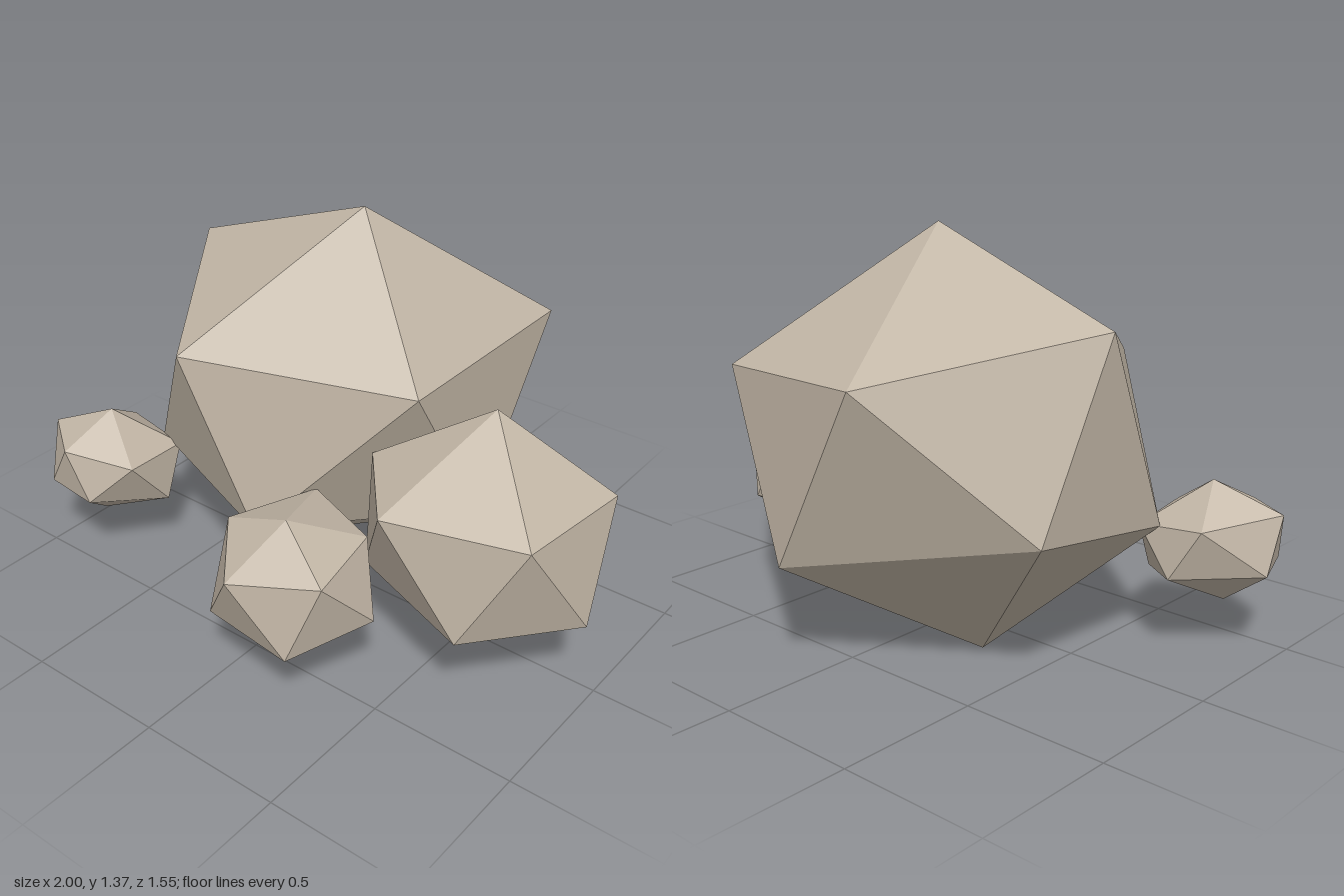
import * as THREE from 'three';

// Rough boulder: a top point, an upper and a lower ring of five corners, a bottom point.
// Rings run counterclockwise seen from above; lower corner i sits between upper i and i + 1.
function createRock(name, material, { top, upper, lower, bottom }) {
  const corners = [];
  for (let i = 0; i < 5; i++) {
    const j = (i + 1) % 5;
    corners.push(
      top, upper[i], upper[j],
      upper[i], lower[i], upper[j],
      lower[i], lower[j], upper[j],
      bottom, lower[j], lower[i]
    );
  }
  const geometry = new THREE.BufferGeometry();
  geometry.setAttribute('position', new THREE.Float32BufferAttribute(corners.flat(), 3));
  geometry.computeVertexNormals();
  const rock = new THREE.Mesh(geometry, material);
  rock.name = name;
  return rock;
}

const rocks = {
  // Main boulder
  largeRock: {
    top: [-0.02, 1.37, -0.11],
    upper: [[-0.73, 1.11, -0.13], [-0.38, 0.93, 0.41], [0.39, 0.92, 0.15], [0.39, 0.93, -0.63], [-0.3, 0.98, -0.78]],
    lower: [[-0.69, 0.43, 0.2], [-0.09, 0.37, 0.39], [0.375, 0.31, -0.245], [0.05, 0.365, -0.75], [-0.69, 0.51, -0.4]],
    bottom: [-0.26, 0, -0.16],
  },
  // Half-size boulder leaning on its left
  mediumRock: {
    top: [0.61, 0.925, 0.05],
    upper: [[0.25, 0.705, 0.195], [0.47, 0.685, 0.46], [0.92, 0.69, 0.335], [0.957, 0.677, -0.105], [0.545, 0.648, -0.28]],
    lower: [[0.29, 0.35, 0.28], [0.73, 0.323, 0.42], [1, 0.323, 0.1], [0.743, 0.327, -0.265], [0.34, 0.31, -0.08]],
    bottom: [0.605, 0.085, 0.127],
  },
  // Small stone in front
  smallRock: {
    top: [0.206, 0.63, 0.565],
    upper: [[0.137, 0.483, 0.775], [0.415, 0.517, 0.655], [0.365, 0.53, 0.37], [0.085, 0.545, 0.275], [-0.034, 0.54, 0.565]],
    lower: [[0.325, 0.25, 0.725], [0.465, 0.31, 0.465], [0.25, 0.32, 0.3], [-0.02, 0.28, 0.41], [-0.015, 0.255, 0.69]],
    bottom: [0.18, 0.144, 0.5],
  },
  // Smallest stone on the right
  pebble: {
    top: [-0.783, 0.57, 0.355],
    upper: [[-0.823, 0.47, 0.55], [-0.588, 0.44, 0.457], [-0.61, 0.42, 0.2], [-0.855, 0.45, 0.18], [-1, 0.48, 0.425]],
    lower: [[-0.72, 0.3, 0.55], [-0.585, 0.246, 0.3], [-0.754, 0.275, 0.158], [-0.998, 0.294, 0.345], [-0.935, 0.3, 0.527]],
    bottom: [-0.82, 0.16, 0.39],
  },
};

export function createModel() {
  const group = new THREE.Group();
  group.name = 'rockCluster';
  const stone = new THREE.MeshStandardMaterial({ color: 0xc2b6a6, flatShading: true });
  for (const [name, shape] of Object.entries(rocks)) group.add(createRock(name, stone, shape));
  return group;
}
